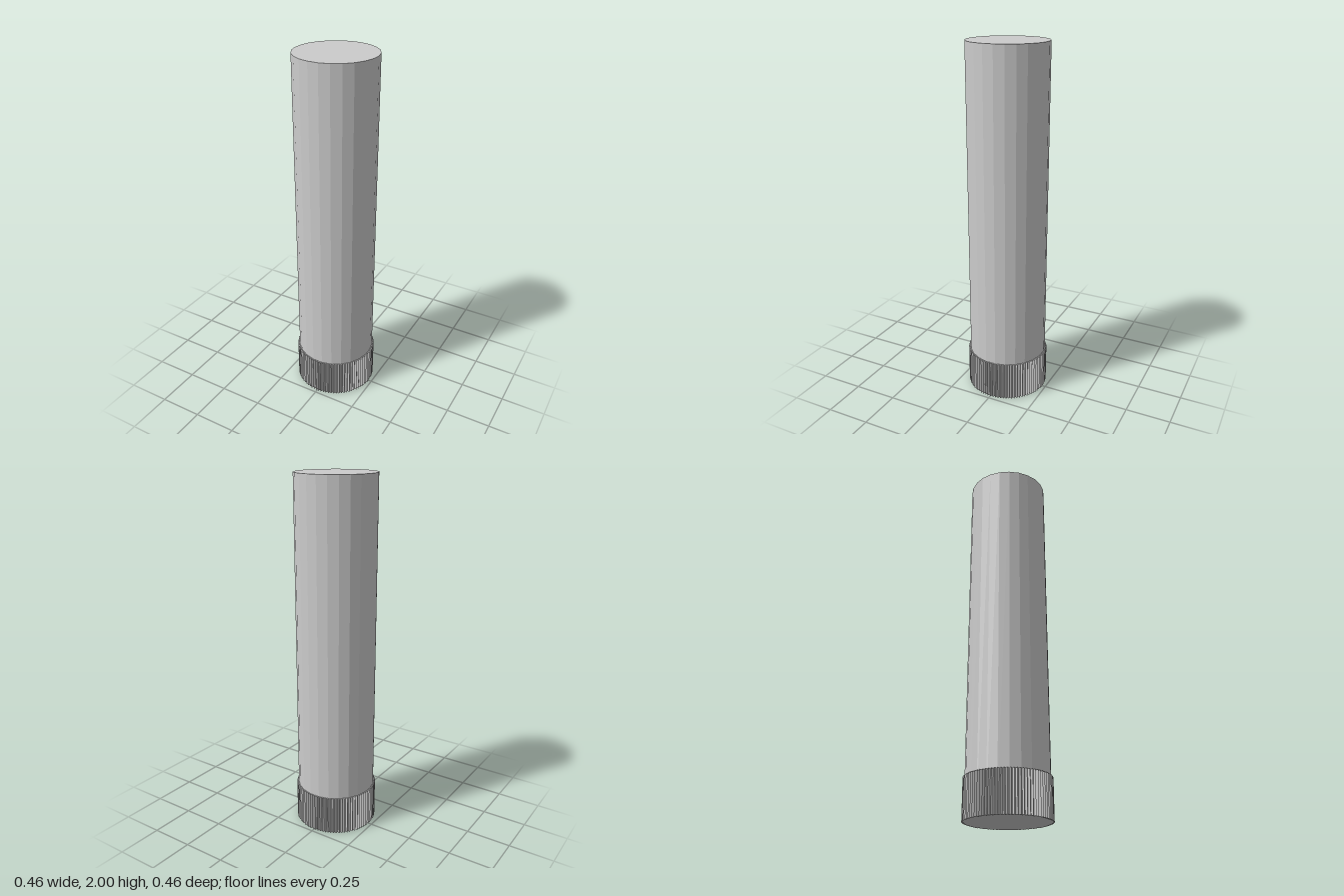
import * as THREE from 'three';

export function createModel() {
  const model = new THREE.Group();
  const material = new THREE.MeshStandardMaterial({ color: 0xcccccc, flatShading: true });

  // Long faceted shaft, turned so flat sides face the axes
  const sides = 24, radius = 0.2218, height = 2;
  const shaft = new THREE.Mesh(
    new THREE.CylinderGeometry(radius, radius, height, sides, 1, false, Math.PI / sides),
    material
  );
  shaft.name = 'shaft';
  shaft.position.y = height / 2;
  model.add(shaft);

  // Ring of three-sided ridges around the foot, points outward
  const grip = new THREE.Group();
  grip.name = 'knurledGrip';
  const teeth = 90, toothRadius = 0.009, toothHeight = 0.222, tipRadius = 0.232;
  const ridge = new THREE.CylinderGeometry(toothRadius, toothRadius, toothHeight, 3);
  ridge.translate(0, toothHeight / 2, tipRadius - toothRadius);
  for (let i = 0; i < teeth; i++) {
    const tooth = new THREE.Mesh(ridge, material);
    tooth.name = 'gripRidge';
    tooth.rotation.y = Math.PI / 2 + (i / teeth) * Math.PI * 2;
    grip.add(tooth);
  }
  model.add(grip);

  return model;
}
